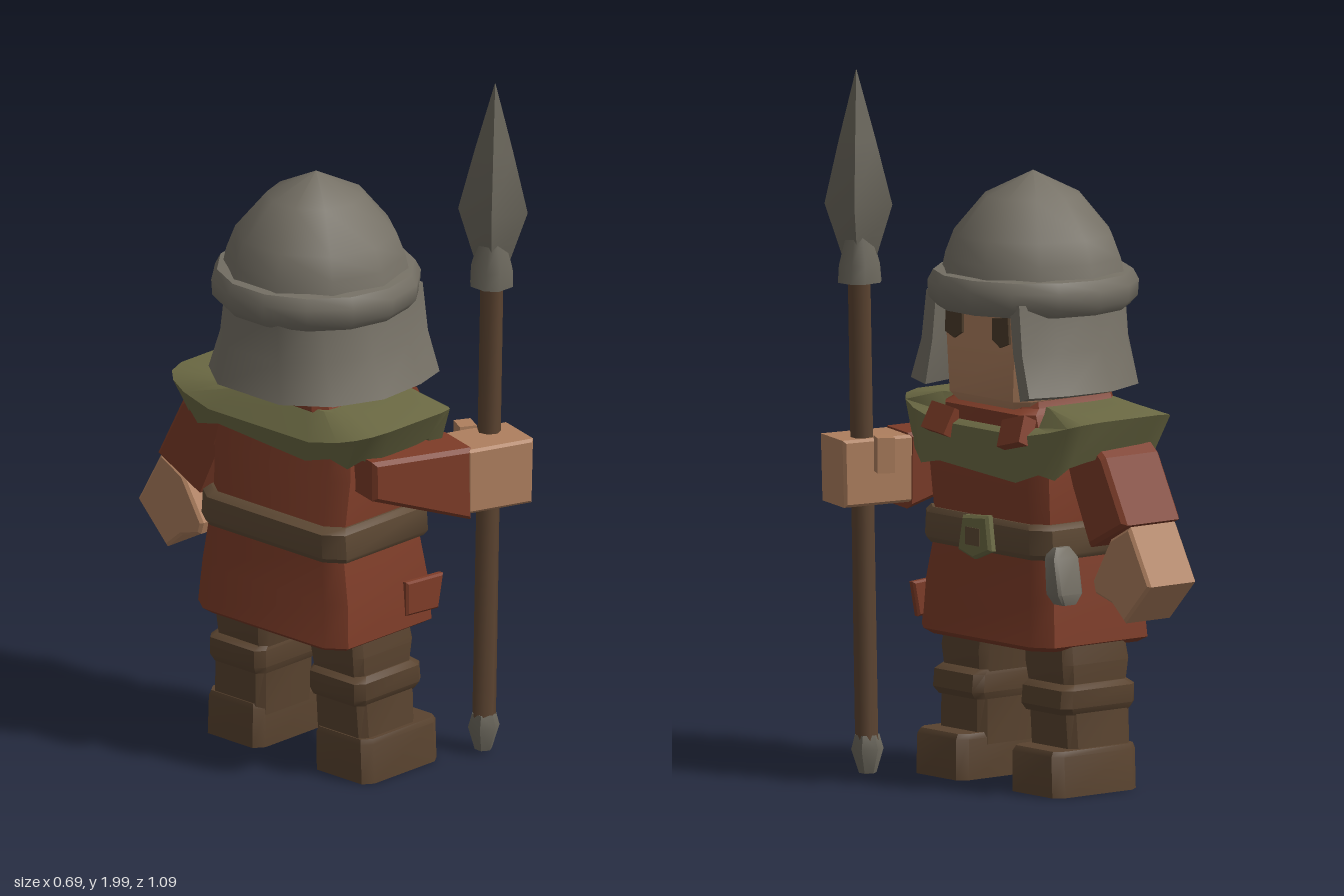
import * as THREE from 'three';
import { toCreasedNormals } from 'three/addons/utils/BufferGeometryUtils.js';

const mat = (name, color) => {
  const m = new THREE.MeshStandardMaterial({ color });
  m.name = name;
  return m;
};
const V = (x, y, z) => new THREE.Vector3(x, y, z);
const MID = 0.045; // body centre line in z

// Chamfered loop at height y, spanning x0..x1 and z0..z1
function ring(y, x0, x1, z0, z1, n = 8, p = 8) {
  const soft = (v) => Math.sign(v) * Math.abs(v) ** (2 / p);
  return Array.from({ length: n }, (_, i) => {
    const a = ((i + 0.5) / n) * Math.PI * 2;
    return V((x0 + x1) / 2 + soft(Math.cos(a)) * (x1 - x0) / 2, y,
      (z0 + z1) / 2 - soft(Math.sin(a)) * (z1 - z0) / 2);
  });
}

// Capped skin over a stack of loops, turned outward
function loft(rings, crease = 0.7) {
  const n = rings[0].length, tris = [];
  for (let i = 0; i + 1 < rings.length; i++) {
    for (let j = 0; j < n; j++) {
      const k = (j + 1) % n, a = rings[i], b = rings[i + 1];
      tris.push([a[j], a[k], b[k]], [a[j], b[k], b[j]]);
    }
  }
  const cap = (r, flip) => {
    const c = r.reduce((s, p) => s.add(p), V(0, 0, 0)).divideScalar(n);
    r.forEach((p, j) => tris.push(flip ? [c, r[(j + 1) % n], p] : [c, p, r[(j + 1) % n]]));
  };
  cap(rings[0], true);
  cap(rings[rings.length - 1], false);
  const volume = tris.reduce((s, [a, b, c]) => s + a.dot(b.clone().cross(c)), 0);
  const pts = tris.flatMap(([a, b, c]) => (volume < 0 ? [a, c, b] : [a, b, c]));
  const g = new THREE.BufferGeometry().setFromPoints(pts);
  return toCreasedNormals(g, crease);
}

// Flat outline with small bevels, between depths w0 and w1
function slab(points, w0, w1, bevel = 0.012) {
  const s = new THREE.Shape(points.map(([u, v]) => new THREE.Vector2(u, v)));
  const g = new THREE.ExtrudeGeometry(s, {
    depth: w1 - w0 - 2 * bevel, bevelEnabled: true, bevelSize: bevel,
    bevelOffset: -bevel, bevelThickness: bevel, bevelSegments: 1,
  });
  return g.translate(0, 0, w0 + bevel);
}
// Outline given as (z, y), extruded along x
const sideSlab = (points, x0, x1, bevel) =>
  slab(points.map(([z, y]) => [-z, y]), x0, x1, bevel).rotateY(Math.PI / 2);

const lathe = (pts, n, crease) =>
  toCreasedNormals(new THREE.LatheGeometry(pts.map(([r, y]) => new THREE.Vector2(r, y)), n), crease);

export function createModel() {
  const root = new THREE.Group();
  root.name = 'spearman';
  const steel = mat('helmet steel', 0x757065), iron = mat('spear iron', 0x6c685d);
  const cloth = mat('red cloth', 0x7d3c28), green = mat('olive mantle', 0x6c6a44);
  const skin = mat('skin', 0xae7f5e), leather = mat('boot leather', 0x59432f);
  const strap = mat('belt leather', 0x5f4a35), wood = mat('shaft wood', 0x5c4431);
  const dark = mat('eye brown', 0x4d3c2b);

  const add = (name, geometry, material, parent = root) => {
    const m = new THREE.Mesh(geometry, material);
    m.name = name;
    parent.add(m);
    return m;
  };
  const box = (name, material, x, y, z, w, h, d, parent) => {
    const m = add(name, new THREE.BoxGeometry(w, h, d), material, parent);
    m.position.set(x, y, z);
    return m;
  };

  // Legs and boots, mirrored about the body centre
  for (const [side, s] of [['spearSide', 1], ['freeSide', -1]]) {
    const leg = new THREE.Group();
    leg.name = side + 'Leg';
    root.add(leg);
    const r = (y, x0, x1, a, b) => ring(y, x0, x1, ...(s > 0 ? [0.04 + a, 0.04 + b] : [0.04 - b, 0.04 - a]));
    add('boot', loft([r(0.005, -0.18, 0.13, 0.1, 0.32), r(0.12, -0.18, 0.13, 0.1, 0.315),
      r(0.135, -0.175, 0.12, 0.105, 0.31)]), leather, leg);
    add('shin', loft([r(0.1, -0.17, 0.055, 0.1, 0.3), r(0.26, -0.175, 0.06, 0.095, 0.29)]), leather, leg);
    add('bootCuff', loft([r(0.23, -0.18, 0.07, 0.09, 0.29), r(0.25, -0.19, 0.085, 0.085, 0.3),
      r(0.3, -0.19, 0.08, 0.085, 0.3), r(0.315, -0.17, 0.06, 0.09, 0.285)]), leather, leg);
    add('trouserLeg', loft([r(0.29, -0.17, 0.055, 0.09, 0.28), r(0.37, -0.18, 0.065, 0.08, 0.285),
      r(0.48, -0.17, 0.055, 0.07, 0.265)]), leather, leg);
  }

  // Tunic, belt and buckle
  add('tunicSkirt', loft([ring(0.41, -0.26, 0.13, -0.22, 0.32), ring(0.425, -0.28, 0.15, -0.245, 0.345),
    ring(0.55, -0.27, 0.143, -0.235, 0.335), ring(0.7, -0.255, 0.13, -0.215, 0.305)]), cloth);
  add('tunicChest', loft([ring(0.7, -0.25, 0.13, -0.21, 0.3), ring(0.9, -0.23, 0.145, -0.22, 0.31),
    ring(1.03, -0.2, 0.12, -0.2, 0.29)]), cloth);
  add('skirtFold', slab([[0.0, 0.46], [0.13, 0.45], [0.15, 0.55], [0.0, 0.56]], 0.32, 0.345, 0.006), cloth);
  add('belt', loft([ring(0.67, -0.26, 0.14, -0.23, 0.32), ring(0.685, -0.27, 0.15, -0.24, 0.33),
    ring(0.755, -0.27, 0.15, -0.235, 0.325), ring(0.77, -0.25, 0.14, -0.22, 0.31)]), strap);
  add('buckle', sideSlab([[0.11, 0.67], [0.09, 0.77], [-0.02, 0.78], [-0.035, 0.68], [0.04, 0.65]],
    0.14, 0.17, 0.008), green);
  box('buckleSlot', strap, 0.168, 0.715, 0.04, 0.008, 0.05, 0.06);
  const tool = add('beltTool', loft([ring(0.55, 0.05, 0.1, -0.28, -0.23), ring(0.58, 0.03, 0.12, -0.285, -0.22),
    ring(0.68, 0.03, 0.12, -0.265, -0.215), ring(0.71, 0.05, 0.1, -0.25, -0.21)]), steel);
  tool.position.x = 0.005;

  // Shoulder mantle: lifted shoulders, ragged hem hanging lower in front
  const out = (p) => Math.abs(p.z - 0.025) / 0.4;
  const rim = ring(0, -0.27, 0.16, -0.38, 0.43, 20, 5);
  rim.forEach((p) => { p.y = 1.005 + 0.07 * out(p) ** 2; });
  const hem = ring(0, -0.25, 0.17, -0.33, 0.37, 20, 5);
  hem.forEach((p, i) => {
    const low = p.x > 0.08 ? 0.9 : 0.965;
    p.y = low + (0.975 - low) * out(p) ** 5 + (i % 2 ? 0.012 : -0.012);
  });
  const neck = ring(0, -0.21, 0.125, -0.2, 0.28, 20, 5);
  neck.forEach((p) => { p.y = p.x > 0.08 && out(p) < 0.55 ? 1.04 : 1.095; });
  add('mantle', loft([ring(0.975, -0.2, 0.12, -0.24, 0.31, 20, 5), hem, rim, neck], 0.8), green);

  // Collar and lapels
  add('collar', loft([ring(1.0, -0.2, 0.135, -0.18, 0.25), ring(1.075, -0.21, 0.145, -0.165, 0.235),
    ring(1.09, -0.22, 0.12, -0.15, 0.22), ring(1.15, -0.21, 0.11, -0.13, 0.21)]), cloth);
  for (const [z, t] of [[0.19, -0.1], [-0.13, 0.25]]) {
    const lapel = box('lapel', cloth, 0.152, 1.025, z, 0.045, 0.08, 0.1);
    lapel.rotation.set(t, 0, 0.45);
  }

  // Head and eyes
  add('head', loft([ring(1.075, -0.2, 0.12, -0.11, 0.18), ring(1.11, -0.22, 0.15, -0.145, 0.205),
    ring(1.27, -0.23, 0.155, -0.16, 0.215), ring(1.45, -0.22, 0.15, -0.15, 0.21)]), skin);
  for (const [z, y, s] of [[0.135, 1.31, 1], [-0.065, 1.305, -1]]) {
    add('eye', sideSlab([[z + 0.04 * s, y - 0.03], [z + 0.035 * s, y + 0.045], [z - 0.035 * s, y + 0.035],
      [z - 0.035 * s, y - 0.025], [z, y - 0.045]], 0.15, 0.159, 0.001), dark);
  }

  // Helmet: dome, brim band, neck and cheek guard
  const helmet = new THREE.Group();
  helmet.name = 'helmet';
  root.add(helmet);
  const dome = add('helmetDome', lathe([[0.268, 1.42], [0.253, 1.49], [0.228, 1.555], [0.138, 1.662],
    [0, 1.73]], 10, 0.75), steel, helmet);
  dome.position.set(-0.055, 0, MID);
  const band = add('helmetBand', lathe([[0.1, 1.37], [0.27, 1.35], [0.293, 1.375], [0.296, 1.42],
    [0.28, 1.45], [0.24, 1.455]], 14, 0.9), steel, helmet);
  band.position.set(-0.055, 0, MID);
  const half = [[0.165, 0.86], [0.06, 0.97], [-0.09, 1], [-0.225, 0.8], [-0.31, 0.4]];
  const path = [...half, ...half.map(([x, s]) => [x, -s]).reverse()];
  add('neckGuard', loft(path.map(([x, s]) => {
    const inner = x < 0 ? x * 0.85 : x;
    return [V(x, 1.39, MID + s * 0.235), V(x * 1.02, 1.25, MID + s * 0.255), V(x * 1.06, 1.135, MID + s * 0.3),
      V(inner, 1.12, MID + s * 0.24), V(inner, 1.25, MID + s * 0.205), V(inner, 1.39, MID + s * 0.185)];
  }), 0.9), steel, helmet);

  // Arm holding the spear
  const spearArm = new THREE.Group();
  spearArm.name = 'spearArm';
  spearArm.position.set(-0.135, 0, 0.26);
  spearArm.rotation.y = -0.28;
  root.add(spearArm);
  add('sleeve', slab([[-0.02, 0.87], [0.3, 0.755], [0.3, 0.97], [-0.02, 0.985]], -0.01, 0.155), cloth, spearArm);
  add('fist', slab([[0.285, 0.775], [0.495, 0.77], [0.5, 0.96], [0.285, 0.965]], -0.01, 0.155, 0.008), skin, spearArm);
  box('thumb', skin, 0.245, 0.92, 0.335, 0.05, 0.1, 0.06).rotation.y = -0.5;

  // Free arm hanging outward
  const freeArm = new THREE.Group();
  freeArm.name = 'freeArm';
  root.add(freeArm);
  add('sleeve', sideSlab([[-0.18, 0.98], [-0.22, 0.87], [-0.295, 0.71], [-0.455, 0.79], [-0.36, 0.97],
    [-0.3, 1.02]], -0.18, 0.03), cloth, freeArm);
  add('hand', sideSlab([[-0.37, 0.74], [-0.295, 0.615], [-0.305, 0.58], [-0.376, 0.56], [-0.434, 0.51],
    [-0.545, 0.625], [-0.455, 0.785]], -0.16, 0.015, 0.008), skin, freeArm);

  // Spear, leaning slightly outward
  const spear = new THREE.Group();
  spear.name = 'spear';
  spear.position.set(0.252, 0, 0.398);
  spear.rotation.set(0.0145, 0, -0.009);
  root.add(spear);
  const shaft = toCreasedNormals(new THREE.CylinderGeometry(0.033, 0.034, 1.36, 7), 1);
  add('shaft', shaft.translate(0, 0.75, 0), wood, spear);
  const diamond = (y, s) => [[0.056, 0.081], [0.05, -0.042], [-0.056, -0.081], [-0.05, 0.042]]
    .map(([x, z]) => V(x * s, y, z * s));
  add('spearHead', loft([diamond(1.47, 0.5), diamond(1.62, 1), diamond(1.8, 0.55), diamond(2.0, 0.01)], 0.5),
    iron, spear);
  add('spearSocket', loft([ring(1.4, -0.06, 0.06, -0.06, 0.06, 8, 2.5),
    ring(1.45, -0.055, 0.055, -0.06, 0.06, 8, 2.5), ring(1.53, -0.035, 0.035, -0.038, 0.038, 8, 2.5)], 0.9), iron, spear);
  add('spearButt', lathe([[0, 0.008], [0.025, 0.012], [0.046, 0.08], [0.035, 0.12], [0, 0.12]], 6, 0.5), iron, spear);
  return root;
}
